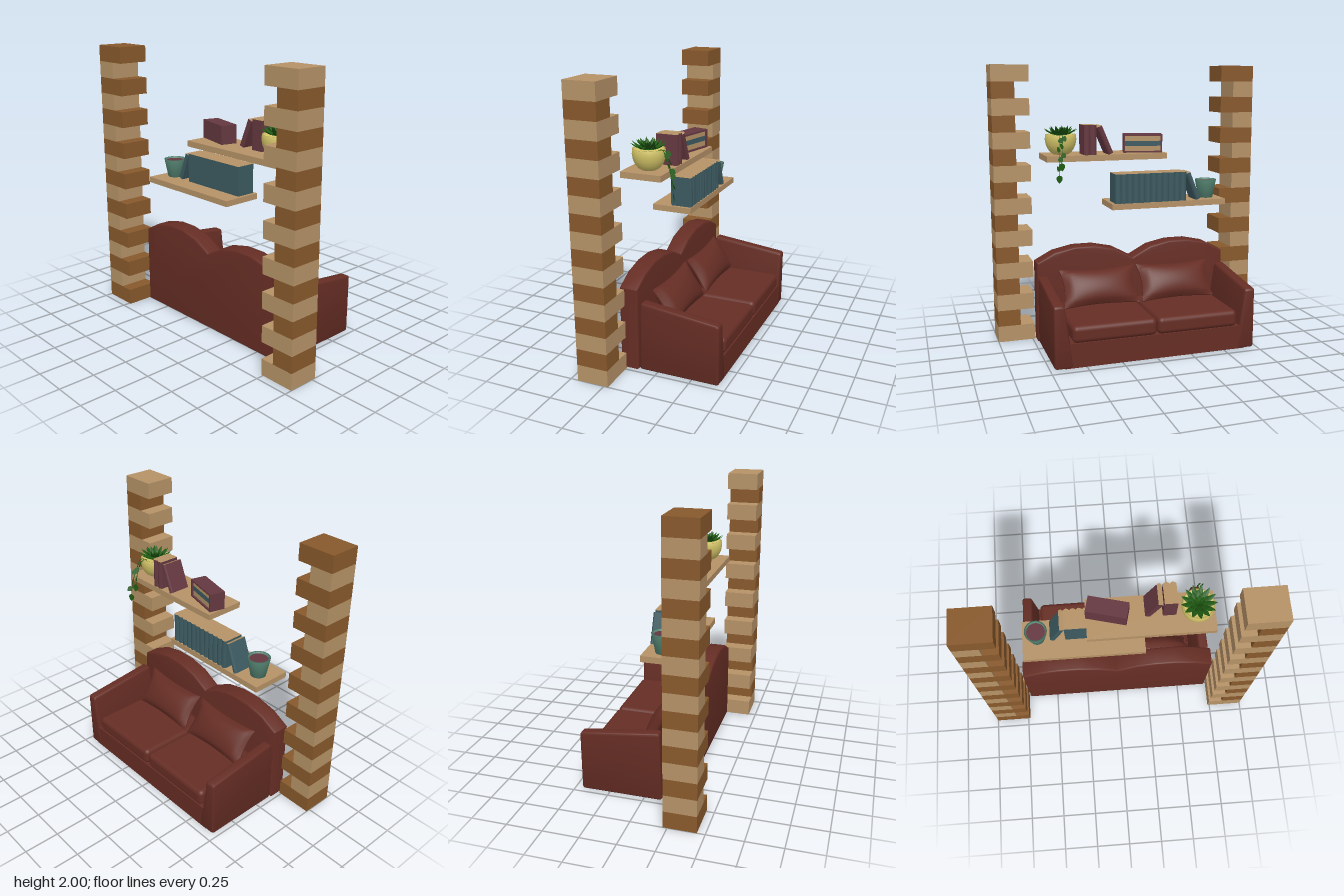
import * as THREE from 'three';
import { RoundedBoxGeometry } from 'three/addons/geometries/RoundedBoxGeometry.js';
import { toCreasedNormals } from 'three/addons/utils/BufferGeometryUtils.js';

const mat = (name, color, side = THREE.FrontSide) => {
  const m = new THREE.MeshStandardMaterial({ color, side });
  m.name = name;
  return m;
};

export function createModel() {
  const tan = mat('light wood', 0xb59267);
  const brown = mat('dark brick', 0x88592c);
  const leather = mat('sofa leather', 0x652d24);
  const teal = mat('teal cover', 0x3c5a60);
  const plum = mat('plum cover', 0x653840);
  const potGreen = mat('green ceramic', 0x578876, THREE.DoubleSide);
  const potYellow = mat('yellow ceramic', 0xd3c468, THREE.DoubleSide);
  const green = mat('leaf green', 0x1f5a12, THREE.DoubleSide);

  const model = new THREE.Group();
  const add = (parent, name, geo, material, x = 0, y = 0, z = 0) => {
    const m = new THREE.Mesh(geo, material);
    m.name = name;
    m.position.set(x, y, z);
    parent.add(m);
    return m;
  };
  const group = (name, x = 0, y = 0, z = 0, parent = model) => {
    const g = new THREE.Group();
    g.name = name;
    g.position.set(x, y, z);
    parent.add(g);
    return g;
  };
  const reshape = (geo, rule) => {
    const p = geo.attributes.position, v = new THREE.Vector3();
    for (let i = 0; i < p.count; i++) {
      rule(v.fromBufferAttribute(p, i));
      p.setXYZ(i, v.x, v.y, v.z);
    }
    return geo;
  };

  // Two toothed columns of alternating long and short blocks
  const layer = 2 / 17;
  for (const s of [-1, 1]) {
    const column = group(s < 0 ? 'rightColumn' : 'leftColumn');
    for (let i = 0; i < 17; i++) {
      const long = i % 2 === 0, w = long ? 0.265 : 0.163;
      add(column, 'block', new THREE.BoxGeometry(w, layer, 0.225),
        long === (s > 0) ? tan : brown, s * (1 - w / 2), (i + 0.5) * layer, 0.333);
    }
  }

  // Sofa: scalloped back, base, sloping arms, seat cushions and pillows
  const sofa = group('sofa');
  const crest = [[0, 0.585], [0.14, 0.66], [0.29, 0.692], [0.44, 0.692], [0.59, 0.66], [0.723, 0.59]];
  const outline = new THREE.Shape();
  outline.moveTo(-0.723, 0.003).lineTo(0.723, 0.003);
  [...crest].reverse().forEach(([x, y]) => outline.lineTo(x, y));
  crest.slice(1).forEach(([x, y]) => outline.lineTo(-x, y));
  const backGeo = new THREE.ExtrudeGeometry(outline, {
    depth: 0.105, bevelSize: 0.014, bevelThickness: 0.014, bevelOffset: -0.014, bevelSegments: 3,
  });
  add(sofa, 'sofaBack', toCreasedNormals(backGeo, 0.6), leather, 0, 0, 0.147);
  add(sofa, 'sofaBase', new THREE.BoxGeometry(1.3, 0.168, 0.63), leather, 0, 0.089, -0.128);

  for (const s of [-1, 1]) {
    const arm = reshape(new RoundedBoxGeometry(0.133, 0.5, 0.577, 3, 0.02), (v) => {
      const up = v.y / 0.5 + 0.5, inner = 0.5 - (s * v.x) / 0.133, back = v.z / 0.577 + 0.5;
      v.x += s * 0.06 * inner * up;
      v.y = up * (0.433 + 0.067 * back);
      v.z -= 0.018 * back * up;
    });
    add(sofa, 'arm', toCreasedNormals(arm, 0.6), leather, s * 0.656, 0.004, -0.159);

    const seat = new RoundedBoxGeometry(0.592, 0.12, 0.585, 4, 0.035);
    add(sofa, 'seatCushion', seat, leather, s * 0.299, 0.228, -0.152);

    const pillow = reshape(new THREE.BoxGeometry(2, 2, 2, 16, 12, 1), (v) => {
      const a = 1 - v.x * v.x, b = 1 - v.y * v.y;
      const thick = 0.006 + 0.07 * Math.sqrt(a * b);
      v.set(v.x * (0.28 - 0.022 * b), v.y * (0.145 - 0.018 * a), v.z * thick);
    });
    pillow.computeVertexNormals();
    add(sofa, 'backPillow', pillow, leather, s * 0.29, 0.415, 0.02).rotation.x = 0.58;
  }

  // Shelves
  add(model, 'lowerShelf', new THREE.BoxGeometry(0.872, 0.042, 0.29), tan, -0.236, 1.0, 0.118);
  add(model, 'upperShelf', new THREE.BoxGeometry(0.872, 0.042, 0.29), tan, 0.229, 1.356, 0.118);

  // Upright book with a rounded spine at the back; caps show the pages
  const book = (name, cover, x, y, w, h, lean = 0) => {
    const s = new THREE.Shape();
    s.moveTo(0, -0.13).lineTo(w, -0.13).lineTo(w, 0.012);
    s.quadraticCurveTo(w / 2, 0.036, 0, 0.012);
    s.closePath();
    const geo = new THREE.ExtrudeGeometry(s, { depth: h, bevelEnabled: false, curveSegments: 6 });
    geo.rotateX(-Math.PI / 2);
    add(model, name, geo, [tan, cover], x, y, 0).rotation.z = -lean;
  };
  const lowTop = 1.021, highTop = 1.377;
  for (let i = 0; i < 12; i++) book('tealBook', teal, -0.365 + i * 0.045, lowTop, 0.045, 0.212);
  book('leaningTealBook', teal, -0.475, lowTop + 0.012, 0.034, 0.212, 0.38);
  for (let i = 0; i < 2; i++) book('plumBook', plum, 0.31 + i * 0.045, highTop, 0.045, 0.208);
  book('leaningPlumBook', plum, 0.19, highTop + 0.013, 0.036, 0.208, 0.4);

  // Turned slipcase, open at the back, with books lying inside
  const slipcase = group('bookSlipcase', -0.06, highTop, 0.091);
  slipcase.rotation.y = -0.25;
  for (const y of [0.006, 0.126]) add(slipcase, 'caseBoard', new THREE.BoxGeometry(0.28, 0.012, 0.115), plum, 0, y, 0);
  for (const x of [-0.134, 0.134]) add(slipcase, 'caseEnd', new THREE.BoxGeometry(0.012, 0.108, 0.115), plum, x, 0.066, 0);
  add(slipcase, 'caseFront', new THREE.BoxGeometry(0.256, 0.108, 0.012), plum, 0, 0.066, 0.0515);
  [tan, teal, tan].forEach((m, i) =>
    add(slipcase, 'lyingBook', new THREE.BoxGeometry(0.256, 0.036, 0.09), m, 0, 0.03 + i * 0.036, 0));

  // Pots
  const lathe = (pts) => new THREE.LatheGeometry(pts.map(([r, y]) => new THREE.Vector2(r, y)), 32);
  const smallPot = group('smallPot', -0.565, lowTop, 0.1);
  add(smallPot, 'potWall', lathe([[0, 0], [0.054, 0], [0.08, 0.135], [0.068, 0.135], [0.062, 0.11]]), potGreen);
  add(smallPot, 'soil', new THREE.CylinderGeometry(0.066, 0.063, 0.008, 32), plum, 0, 0.12, 0);

  const bowl = group('plantBowl', 0.538, highTop, 0.115);
  add(bowl, 'bowlWall', lathe([[0, 0], [0.05, 0], [0.073, 0.014], [0.092, 0.038], [0.105, 0.07],
    [0.111, 0.105], [0.108, 0.14], [0.1, 0.14], [0.098, 0.12], [0, 0.118]]), potYellow);

  // Rosette of folded pointed leaves
  const leafGeo = (length, width) => {
    const geo = new THREE.PlaneGeometry(width, length, 2, 4);
    const spread = [0.35, 0.85, 1, 0.65, 0.02];
    reshape(geo, (v) => {
      const t = v.y / length + 0.5;
      v.x *= spread[Math.round(t * 4)];
      v.z = Math.abs(v.x) * 0.4 - 0.2 * length * t * t;
      v.y = t * length;
    });
    geo.computeVertexNormals();
    return geo;
  };
  const rosette = group('rosette', 0, 0.135, 0, bowl);
  [[13, 0.128, 0.042, 1.42], [11, 0.1, 0.038, 1.12], [8, 0.068, 0.03, 0.8], [5, 0.04, 0.02, 0.4]].forEach(([n, len, w, tilt], ring) => {
    for (let i = 0; i < n; i++) {
      const leaf = add(rosette, 'leaf', leafGeo(len, w), green);
      leaf.rotation.set(tilt, ((i + ring * 0.4) / n) * Math.PI * 2, 0, 'YXZ');
    }
  });

  // Trailing vines with drop-shaped leaves
  const drop = new THREE.Shape();
  drop.moveTo(0, 0).bezierCurveTo(0.034, -0.004, 0.03, -0.036, 0, -0.055);
  drop.bezierCurveTo(-0.03, -0.036, -0.034, -0.004, 0, 0);
  const dropGeo = new THREE.ShapeGeometry(drop, 6);
  const vines = group('vines');
  const paths = [
    [[0.55, 1.51, 0.04], [0.57, 1.52, 0], [0.58, 1.44, -0.035], [0.59, 1.34, -0.07], [0.592, 1.25, -0.08]],
    [[0.54, 1.51, 0.03], [0.55, 1.51, -0.01], [0.56, 1.43, -0.04], [0.568, 1.33, -0.055]],
  ];
  paths.forEach((pts, k) => {
    const curve = new THREE.CatmullRomCurve3(pts.map((p) => new THREE.Vector3(...p)));
    add(vines, 'stem', new THREE.TubeGeometry(curve, 20, 0.0025, 5), green);
    const n = 5 - k;
    for (let i = 0; i < n; i++) {
      const p = curve.getPoint(0.35 + (0.65 * i) / (n - 1));
      const leaf = add(vines, 'vineLeaf', dropGeo, green, p.x, p.y, p.z);
      const last = i === n - 1;
      leaf.rotation.set(last ? 0.1 : 0.5, last ? 0.3 : (i % 2 ? 0.7 : -0.6), last ? 0 : (i % 2 ? 0.5 : -0.5));
      if (!last) leaf.scale.setScalar(0.8);
    }
  });

  return model;
}
